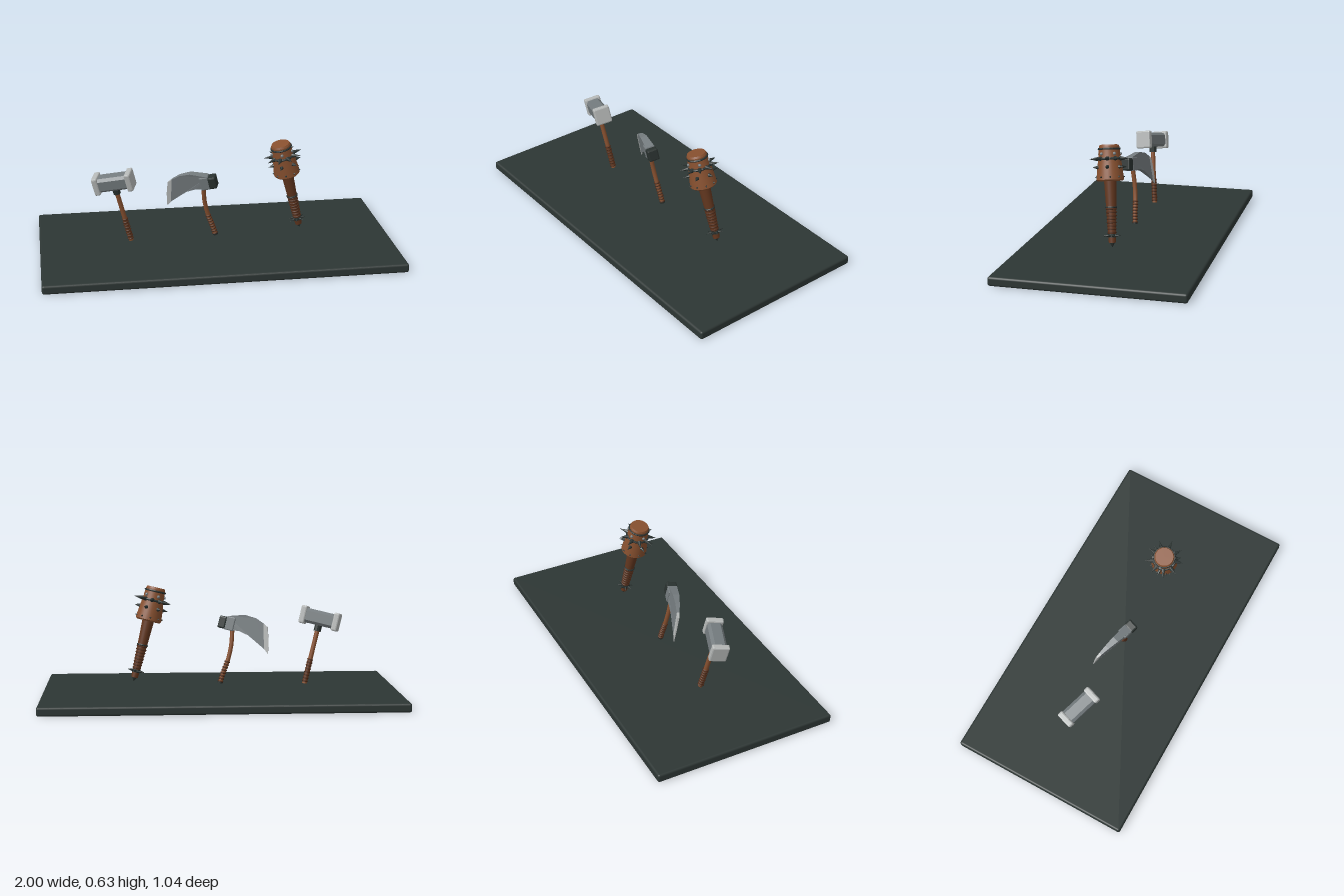
import * as THREE from 'three';
import { RoundedBoxGeometry } from 'three/addons/geometries/RoundedBoxGeometry.js';

const mat = (name, color, flatShading = false) =>
  Object.assign(new THREE.MeshStandardMaterial({ color, flatShading }), { name });

export function createModel() {
  const slate = mat('slate', 0x2d3634);
  const iron = mat('dark iron', 0x29312f, true);
  const steel = mat('steel', 0x747b7e, true);
  const bright = mat('bright steel', 0xb4b7b6, true);
  const wood = mat('wood', 0x87502f);
  const darkWood = mat('dark wood', 0x63371f);
  const wrap = mat('leather wrap', 0x4f2c1a);

  const model = new THREE.Group();
  model.name = 'weaponDisplay';

  const add = (parent, name, geometry, material, x = 0, y = 0, z = 0) => {
    const mesh = new THREE.Mesh(geometry, material);
    mesh.name = name;
    mesh.position.set(x, y, z);
    parent.add(mesh);
    return mesh;
  };

  // All weapons share one lean: back to the right, slightly forward, a little yaw
  const up = new THREE.Vector3(-0.25, 1, 0.1).normalize();
  const side = new THREE.Vector3(0.23, 0.05, 0.08);
  side.addScaledVector(up, -side.dot(up)).normalize();
  const lean = new THREE.Matrix4().makeBasis(side, up, side.clone().cross(up));
  const weapon = (name, x, y, z) => {
    const group = new THREE.Group();
    group.name = name;
    group.position.set(x, y, z);
    group.quaternion.setFromRotationMatrix(lean);
    model.add(group);
    return group;
  };

  const ring = (parent, name, y, radius, tube, material, x = 0) => {
    const mesh = add(parent, name, new THREE.TorusGeometry(radius, tube, 6, 20), material, x, y, 0);
    mesh.rotation.x = Math.PI / 2;
    return mesh;
  };

  // Cones pointing outward around the weapon's axis
  const spikes = (parent, name, count, y, radius, base, length, turn = 0) => {
    for (let i = 0; i < count; i++) {
      const a = turn + (i / count) * Math.PI * 2;
      const dir = new THREE.Vector3(Math.cos(a), 0, Math.sin(a));
      const cone = add(parent, name, new THREE.ConeGeometry(base, length, 8), iron);
      cone.position.copy(dir).multiplyScalar(radius + length / 2 - 0.004).setY(y);
      cone.quaternion.setFromUnitVectors(new THREE.Vector3(0, 1, 0), dir);
    }
  };

  // Base slab
  add(model, 'base', new RoundedBoxGeometry(2, 0.05, 1.044, 2, 0.012), slate, 0, 0.025, 0);

  // Hammer
  const hammer = weapon('hammer', -0.483, 0.07, 0);
  add(hammer, 'hammerHandle', new THREE.CylinderGeometry(0.013, 0.013, 0.35, 14), wood, 0, 0.175, 0);
  add(hammer, 'hammerGrip', new THREE.CylinderGeometry(0.0145, 0.0145, 0.13, 14), darkWood, 0, 0.075, 0);
  for (let i = 0; i < 8; i++) ring(hammer, 'hammerWrap', 0.015 + i * 0.018, 0.0135, 0.0045, wrap);
  add(hammer, 'hammerCollar', new THREE.CylinderGeometry(0.021, 0.021, 0.035, 10), iron, 0, 0.325, 0);

  // Hammer head: chamfered block with flared bright faces
  const c = 0.042, k = 0.027;
  const octagon = new THREE.Shape(
    [[c, -k], [c, k], [k, c], [-k, c], [-c, k], [-c, -k], [-k, -c], [k, -c]].map(p => new THREE.Vector2(...p)));
  const block = new THREE.ExtrudeGeometry(octagon, { depth: 0.18, bevelEnabled: false });
  block.translate(0, 0, -0.09).rotateY(Math.PI / 2);
  add(hammer, 'hammerHead', block, steel, 0, 0.383, 0);
  for (const s of [-1, 1]) {
    const face = new RoundedBoxGeometry(0.034, 0.104, 0.096, 1, 0.008);
    add(hammer, 'hammerFace', face, bright, s * 0.096, 0.383, 0);
  }

  // Axe handle, gently bowed
  const axe = weapon('axe', 0, 0.08, 0);
  const bow = new THREE.CatmullRomCurve3(
    [[0, 0], [-0.004, 0.06], [-0.013, 0.14], [-0.011, 0.225], [0.004, 0.31], [0.01, 0.35]]
      .map(([x, y]) => new THREE.Vector3(x, y, 0)));
  add(axe, 'axeHandle', new THREE.TubeGeometry(bow, 24, 0.0125, 12), wood);
  for (let i = 0; i < 8; i++) {
    const p = bow.getPointAt(0.02 + i * 0.048);
    ring(axe, 'axeWrap', p.y, 0.012, 0.005, wrap, p.x);
  }
  add(axe, 'axePommel', new THREE.CylinderGeometry(0.016, 0.015, 0.012, 12), iron, 0, 0.002, 0);

  // Axe blade: outlines extruded, then thinned toward the cutting edge
  const plate = (name, points, material) => {
    const shape = new THREE.Shape(points.map(p => new THREE.Vector2(...p)));
    const geometry = new THREE.ExtrudeGeometry(shape, { depth: 1, bevelEnabled: false });
    const pos = geometry.attributes.position;
    for (let i = 0; i < pos.count; i++) {
      const t = THREE.MathUtils.clamp((pos.getX(i) + 0.235) / 0.25, 0, 1);
      pos.setZ(i, (pos.getZ(i) - 0.5) * (0.003 + 0.047 * t));
    }
    geometry.computeVertexNormals();
    add(axe, name, geometry, material);
  };
  plate('axeBlade', [[0.045, 0.302], [0.045, 0.378], [-0.05, 0.408], [-0.114, 0.404], [-0.165, 0.385],
    [-0.203, 0.246], [-0.148, 0.274], [-0.095, 0.3], [-0.04, 0.311]], steel);
  plate('axeEdge', [[-0.165, 0.385], [-0.192, 0.371], [-0.216, 0.3], [-0.232, 0.222], [-0.203, 0.246]], bright);
  add(axe, 'axeEye', new RoundedBoxGeometry(0.052, 0.078, 0.056, 1, 0.005), steel, 0.02, 0.34, 0);
  add(axe, 'axePoll', new RoundedBoxGeometry(0.045, 0.07, 0.062, 1, 0.008), iron, 0.065, 0.338, 0);

  // Club handle
  const club = weapon('club', 0.487, 0.115, 0);
  add(club, 'clubHandle', new THREE.CylinderGeometry(0.034, 0.019, 0.34, 24), darkWood, 0, 0.17, 0);
  for (let i = 0; i < 8; i++) {
    const y = 0.055 + i * 0.018;
    ring(club, 'clubWrap', y, 0.018 + y * 0.044, 0.005, wrap);
  }
  ring(club, 'clubHandleBand', 0.19, 0.028, 0.005, iron);
  add(club, 'clubPommel', new THREE.CylinderGeometry(0.023, 0.023, 0.018, 16), iron, 0, 0.038, 0);
  spikes(club, 'pommelSpike', 8, 0.038, 0.022, 0.008, 0.033);
  add(club, 'bottomSpike', new THREE.ConeGeometry(0.015, 0.025, 8), iron, 0, -0.012, 0).rotation.x = Math.PI;

  // Club head, widest at its lower end
  const profile = [[0, 0.33], [0.066, 0.33], [0.074, 0.338], [0.066, 0.415], [0.06, 0.45], [0.055, 0.515],
    [0.05, 0.525], [0, 0.525]].map(p => new THREE.Vector2(...p));
  // Doubled corners keep the rims crisp
  const rimmed = profile.flatMap((p, i) => (i === 1 || i === 2 || i > 4 && i < 7) ? [p, p.clone()] : [p]);
  add(club, 'clubHead', new THREE.LatheGeometry(rimmed, 32), wood);
  ring(club, 'upperBand', 0.503, 0.056, 0.006, iron);
  ring(club, 'spikedBand', 0.45, 0.061, 0.007, iron);
  spikes(club, 'largeSpike', 9, 0.45, 0.062, 0.013, 0.052, 0.3);
  spikes(club, 'middleSpike', 6, 0.405, 0.066, 0.012, 0.036, 0.65);
  spikes(club, 'lowerStud', 9, 0.352, 0.072, 0.007, 0.016, 0.1);
  for (let i = 0; i < 5; i++) {
    const a = 0.2 + (i / 5) * Math.PI * 2;
    add(club, 'rivet', new THREE.SphereGeometry(0.009, 10, 8), steel,
      Math.cos(a) * 0.059, 0.476, Math.sin(a) * 0.059);
  }

  return model;
}
